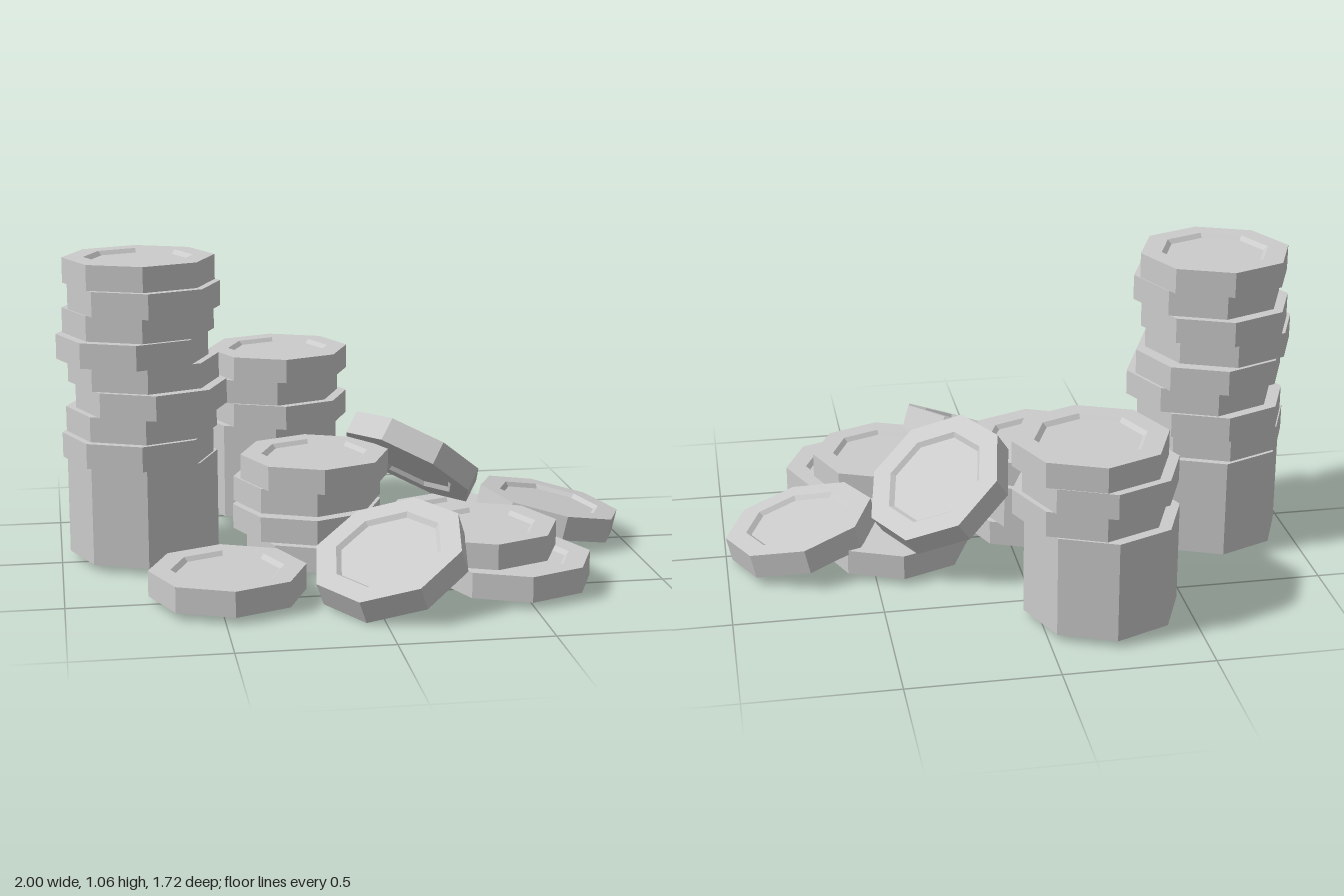
import * as THREE from 'three';

const R = 0.26, T = 0.0863, BASE = 0.015;
const material = new THREE.MeshStandardMaterial({ color: 0xcccccc, flatShading: true });

// Eight-sided coin with a bevelled recess in both faces, centred on its origin
function coinGeometry(thickness) {
  const h = thickness / 2, d = 0.014;
  const profile = [[0, d - h], [0.172, d - h], [0.187, -h], [R, -h], [R, h], [0.187, h], [0.172, h - d], [0, h - d]];
  return new THREE.LatheGeometry(profile.map(([x, y]) => new THREE.Vector2(x, y)), 8);
}

const single = coinGeometry(T);

function coin(name, x, y, z, geometry = single) {
  const mesh = new THREE.Mesh(geometry, material);
  mesh.name = name;
  mesh.position.set(x, y, z);
  return mesh;
}

// Stack of coins given as [x, z, levels], from the ground up
function stack(name, coins) {
  const group = new THREE.Group();
  group.name = name;
  let level = 0;
  for (const [x, z, n = 1] of coins) {
    const geometry = n === 1 ? single : coinGeometry(T * n);
    group.add(coin(n === 1 ? 'coin' : 'coinColumn', x, BASE + T * (level + n / 2), z, geometry));
    level += n;
  }
  return group;
}

// Leaning coin: its axis points along the normal, after a spin about itself
function leaningCoin(name, position, normal, spin) {
  const mesh = coin(name, ...position);
  const up = new THREE.Vector3(0, 1, 0);
  mesh.quaternion.setFromUnitVectors(up, new THREE.Vector3(...normal).normalize());
  mesh.rotateY(spin);
  return mesh;
}

export function createModel() {
  const model = new THREE.Group();
  model.name = 'coinPile';

  // Upright stacks
  model.add(stack('tallStack', [
    [-0.71, -0.07, 4], [-0.725, -0.05], [-0.71, -0.075], [-0.676, -0.05], [-0.7, -0.08],
    [-0.738, -0.05], [-0.715, -0.077], [-0.695, -0.042], [-0.71, -0.07],
  ]));
  model.add(stack('backStack', [[-0.21, -0.603, 4], [-0.175, -0.58], [-0.204, -0.603], [-0.172, -0.587]]));
  model.add(stack('middleStack', [[-0.105, 0.08], [-0.147, 0.03], [-0.14, -0.02], [-0.118, 0.015]]));
  model.add(stack('frontStack', [[0.49, 0.48], [0.395, 0.39]]));

  // Single flat coins
  model.add(stack('looseCoin', [[-0.47, 0.48]]));
  model.add(stack('supportCoin', [[0.41, -0.06]]));

  // Leaning coins
  model.add(leaningCoin('rightLeaningCoin', [0.735, 0.1, -0.043], [0.216, 0.976, 0], 0));
  model.add(leaningCoin('upperLeaningCoin', [0.26, 0.285, -0.15], [0.5, 0.8, -0.33], 0.1));
  model.add(leaningCoin('frontLeaningCoin', [0.05, 0.143, 0.603], [-0.32, 0.9, 0.3], 0.2));

  return model;
}
